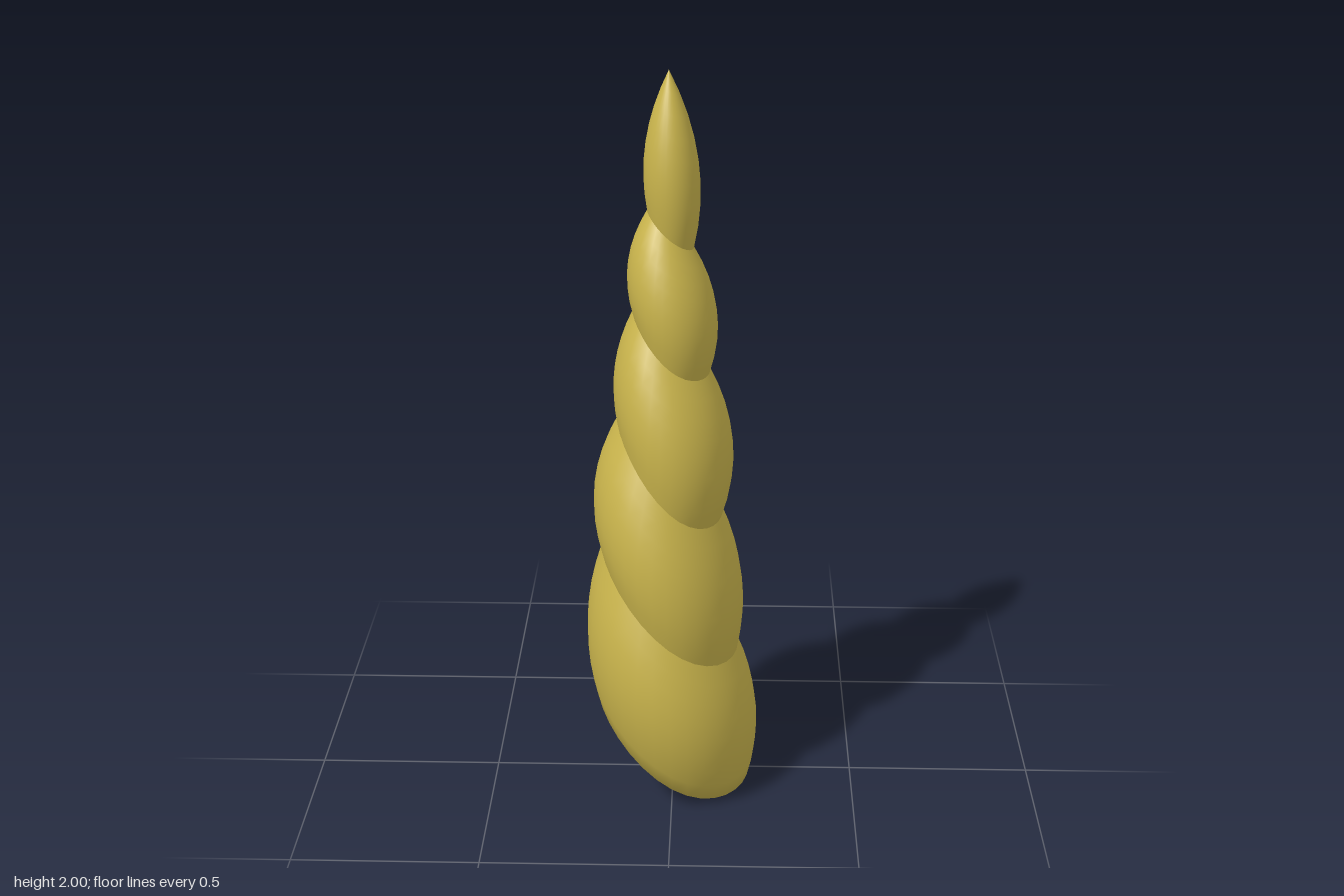
import * as THREE from 'three';

const SIDES = 32;
const ROWS = 8;

// Seams between the coils: height and x on the right (-x) edge, height and x on the left (+x) edge,
// height at the middle, half depth in z
const seams = [
  { yA: 0.25, xA: -0.21, yB: 0.0, xB: 0.212, yM: 0.06, rz: 0.225 },
  { yA: 0.70, xA: -0.195, yB: 0.40, xB: 0.178, yM: 0.50, rz: 0.243 },
  { yA: 1.07, xA: -0.15, yB: 0.80, xB: 0.132, yM: 0.88, rz: 0.203 },
  { yA: 1.37, xA: -0.107, yB: 1.205, xB: 0.096, yM: 1.25, rz: 0.135 },
  { yA: 1.64, xA: -0.068, yB: 1.54, xB: 0.052, yM: 1.58, rz: 0.075 },
  { yA: 2.0, xA: -0.012, yB: 2.0, xB: -0.012, yM: 2.0, rz: 0.0 },
];

// Widest place of each coil: fraction of the way up, x on both edges, half depth
const bulges = [
  { t: 0.48, xA: -0.238, xB: 0.232, rz: 0.288 },
  { t: 0.42, xA: -0.215, xB: 0.19, rz: 0.264 },
  { t: 0.43, xA: -0.157, xB: 0.16, rz: 0.214 },
  { t: 0.42, xA: -0.12, xB: 0.115, rz: 0.15 },
  { t: 0.31, xA: -0.077, xB: 0.069, rz: 0.09 },
];

// Parabola through (0, a), (m, b), (1, c)
function arc(t, a, m, b, c) {
  return a * (t - m) * (t - 1) / m + b * t * (t - 1) / (m * (m - 1)) + c * t * (t - m) / (1 - m);
}

// Cross-section of a coil at fraction t
function section(lo, mid, hi, t) {
  const s = {};
  for (const k of ['yA', 'yB', 'yM']) s[k] = THREE.MathUtils.lerp(lo[k], hi[k], t);
  for (const k of ['xA', 'xB', 'rz']) s[k] = arc(t, lo[k], mid.t, mid[k], hi[k]);
  return s;
}

// Point on a tilted, gently bent oval; scale shrinks it towards its middle
function ringPoint(s, angle, scale) {
  const c = Math.cos(angle) * scale;
  const x = (s.xA + s.xB) / 2 + (s.xB - s.xA) / 2 * c;
  const y = s.yM + (s.yB - s.yA) / 2 * c + ((s.yA + s.yB) / 2 - s.yM) * c * c;
  return [x, y, s.rz * Math.sin(angle) * scale];
}

function loft(rings) {
  const positions = [];
  const index = [];
  rings.forEach(({ s, scale }, j) => {
    for (let i = 0; i < SIDES; i++) {
      positions.push(...ringPoint(s, i / SIDES * Math.PI * 2, scale));
      if (j === rings.length - 1) continue;
      const a = j * SIDES + i;
      const b = j * SIDES + (i + 1) % SIDES;
      index.push(a, a + SIDES, b, b, a + SIDES, b + SIDES);
    }
  });
  const geometry = new THREE.BufferGeometry();
  geometry.setAttribute('position', new THREE.Float32BufferAttribute(positions, 3));
  geometry.setIndex(index);
  geometry.computeVertexNormals();
  return geometry;
}

export function createModel() {
  const horn = new THREE.Group();
  horn.name = 'horn';
  const material = new THREE.MeshStandardMaterial({ color: 0xc9b44c });

  bulges.forEach((bulge, n) => {
    const rings = [];
    // The lowest coil is closed underneath
    if (n === 0) for (const scale of [0, 0.45, 0.85]) rings.push({ s: seams[0], scale });
    for (let j = 0; j <= ROWS; j++) {
      rings.push({ s: section(seams[n], bulge, seams[n + 1], j / ROWS), scale: 1 });
    }
    const coil = new THREE.Mesh(loft(rings), material);
    coil.name = n === bulges.length - 1 ? 'hornTip' : `hornCoil${n + 1}`;
    horn.add(coil);
  });
  return horn;
}
